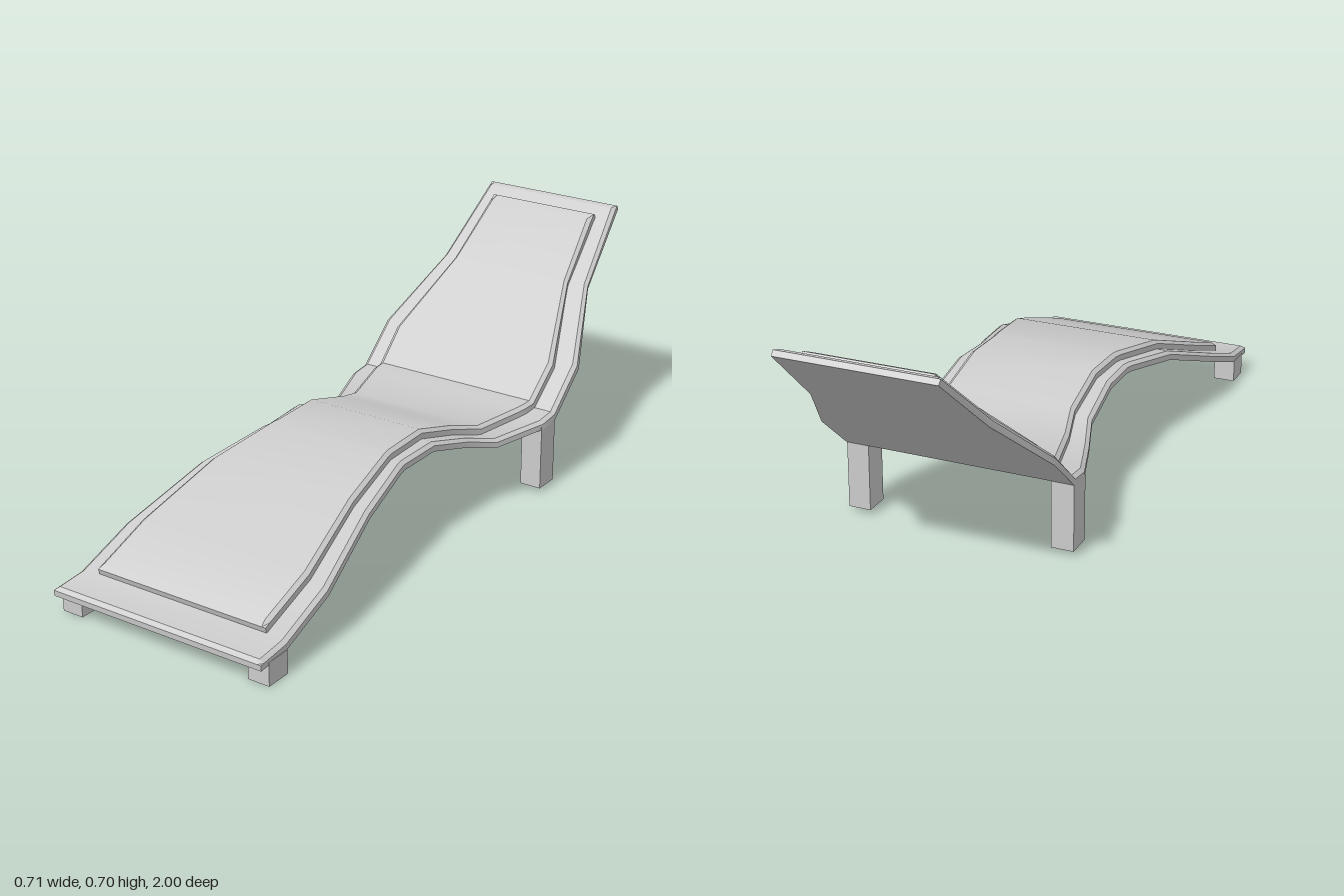
import * as THREE from 'three';
import { toCreasedNormals } from 'three/addons/utils/BufferGeometryUtils.js';

const material = new THREE.MeshStandardMaterial({ color: 0xcccccc });

// Underside of the shell from foot to head: [z, y]
const PROFILE = [
  [0.993, 0.058], [0.885, 0.067], [0.44, 0.23], [0.23, 0.266], [0.067, 0.272],
  [-0.2, 0.193], [-0.366, 0.203], [-0.44, 0.212], [-0.55, 0.308], [-0.995, 0.69],
];

// Half widths in plan, foot to head: [z, half width]
const SHELL_WIDTH = [
  [0.99, 0.34], [0.7, 0.334], [0.205, 0.234], [-0.09, 0.246],
  [-0.37, 0.339], [-0.57, 0.339], [-0.773, 0.25], [-0.99, 0.225],
];
const CUSHION_WIDTH = [
  [0.885, 0.276], [0.69, 0.276], [0.21, 0.196], [-0.09, 0.196],
  [-0.387, 0.272], [-0.545, 0.278], [-0.76, 0.19], [-0.92, 0.18],
];

// Linear lookup in a table sorted by falling z
function lookup(table, z) {
  let i = 0;
  while (i < table.length - 2 && z < table[i + 1][0]) i++;
  const [z0, v0] = table[i], [z1, v1] = table[i + 1];
  const t = (z0 - z) / (z0 - z1);
  return v0 + (v1 - v0) * t;
}

// Point at a height above the underside, measured square to the curve
function along(z, height) {
  const e = 0.012;
  const slope = (lookup(PROFILE, z + e) - lookup(PROFILE, z - e)) / (2 * e);
  const len = Math.hypot(1, slope);
  return { z: z - slope / len * height, y: lookup(PROFILE, z) + height / len };
}

// Loft a bevelled slab along the profile
function slab(name, { front, back, widths, low, shoulder, high, bevel, endBevel }) {
  const breaks = [...PROFILE, ...widths].map((p) => p[0])
    .filter((z) => z < front - endBevel - 0.01 && z > back + endBevel + 0.01);
  const stations = [...new Set([front, front - endBevel, ...breaks, back + endBevel, back])]
    .sort((a, b) => b - a);
  const n = 6, positions = [], index = [];
  stations.forEach((s, i) => {
    const isEnd = i === 0 || i === stations.length - 1;
    const top = isEnd ? shoulder : high;
    const ring = [[-1, low, 0], [1, low, 0], [1, shoulder, 0], [1, top, bevel], [-1, top, bevel], [-1, shoulder, 0]];
    for (const [side, height, inset] of ring) {
      const p = along(s, height);
      positions.push(side * (lookup(widths, p.z) - inset), p.y, p.z);
    }
    if (i === 0) return;
    for (let j = 0; j < n; j++) {
      const a = (i - 1) * n + j, b = (i - 1) * n + (j + 1) % n;
      index.push(a, a + n, b, b, a + n, b + n);
    }
  });
  // End caps
  const last = (stations.length - 1) * n;
  for (const [j, k, m] of [[0, 1, 2], [0, 2, 5], [5, 2, 3], [5, 3, 4]]) {
    index.push(j, k, m, last + j, last + m, last + k);
  }
  const geometry = new THREE.BufferGeometry();
  geometry.setAttribute('position', new THREE.Float32BufferAttribute(positions, 3));
  geometry.setIndex(index);
  const mesh = new THREE.Mesh(toCreasedNormals(geometry, 0.48), material);
  mesh.name = name;
  return mesh;
}

function leg(name, x, z, bottom, top) {
  const mesh = new THREE.Mesh(new THREE.BoxGeometry(0.066, top - bottom, 0.077), material);
  mesh.position.set(x, (top + bottom) / 2, z);
  mesh.name = name;
  return mesh;
}

export function createModel() {
  const model = new THREE.Group();
  model.name = 'lounger';

  // Curved shell
  model.add(slab('shell', {
    front: 0.993, back: -0.995, widths: SHELL_WIDTH,
    low: 0, shoulder: 0.017, high: 0.026, bevel: 0.012, endBevel: 0.012,
  }));

  // Raised pad following the shell
  model.add(slab('cushion', {
    front: 0.878, back: -0.95, widths: CUSHION_WIDTH,
    low: 0.022, shoulder: 0.043, high: 0.052, bevel: 0.012, endBevel: 0.02,
  }));

  // Short front legs and tall rear legs
  for (const [side, label] of [[1, 'Left'], [-1, 'Right']]) {
    model.add(leg('frontLeg' + label, side * 0.307, 0.924, 0, 0.068));
    model.add(leg('rearLeg' + label, side * 0.305, -0.399, 0.015, 0.211));
  }

  // The lounger stands slightly turned
  model.rotation.y = 0.019;
  const root = new THREE.Group();
  root.name = 'chaiseLounge';
  root.add(model);
  return root;
}
